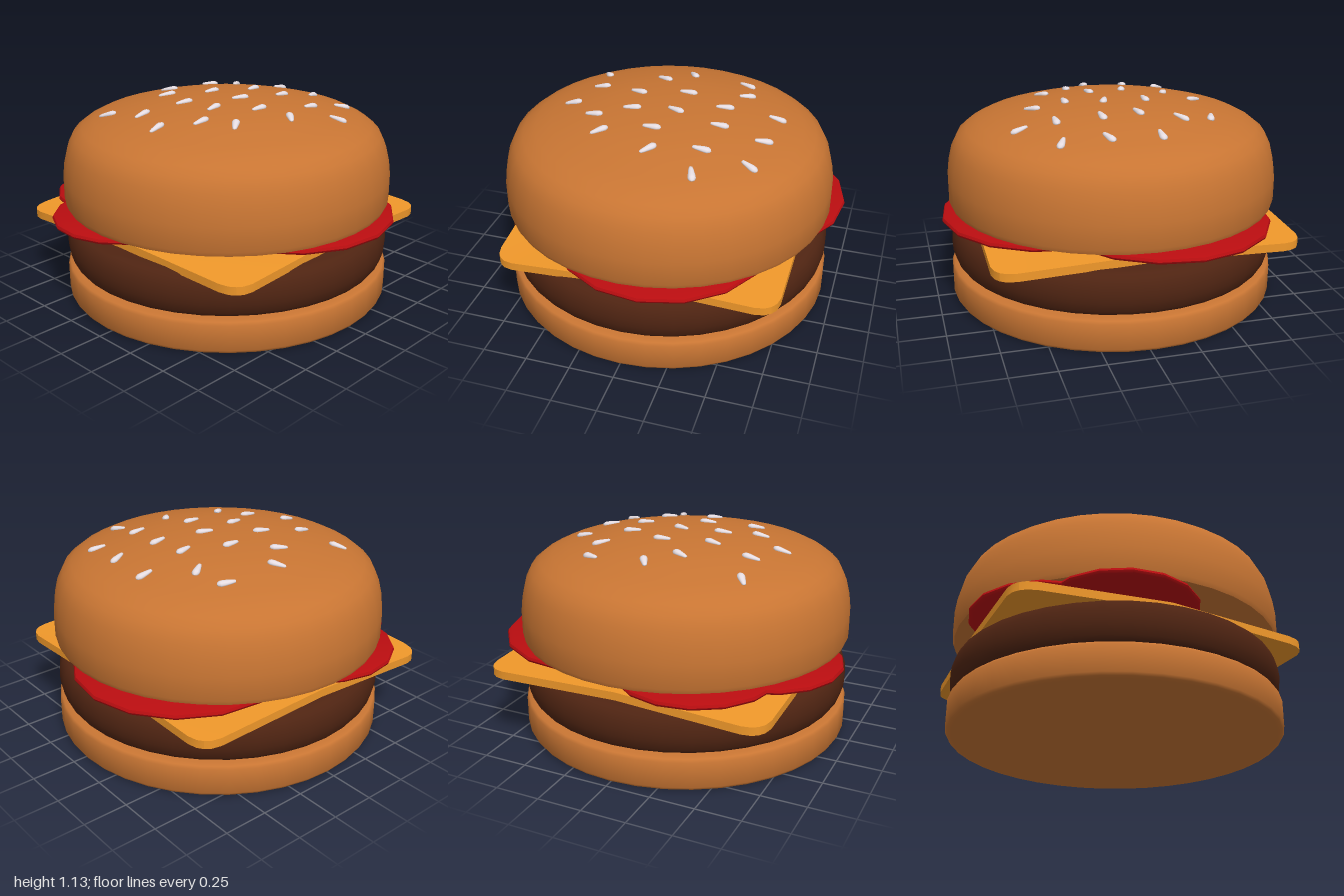
import * as THREE from 'three';
import { toCreasedNormals } from 'three/addons/utils/BufferGeometryUtils.js';

const CX = -0.03; // axis of the round layers
const paint = (color) => new THREE.MeshStandardMaterial({ color });
const bunMat = paint(0xc87533);
const pattyMat = paint(0x4f2412);
const cheeseMat = paint(0xf0982a);
const tomatoMat = paint(0xb90d10);
const seedMat = paint(0xe6dde2);

// Outer dome of the top bun as [radius, height], from rim to crown
const DOME = [[0.925, 0.545], [0.935, 0.57], [0.935, 0.7], [0.925, 0.78], [0.905, 0.86], [0.87, 0.93],
  [0.82, 0.97], [0.75, 1.005], [0.66, 1.03], [0.56, 1.055], [0.45, 1.078], [0.33, 1.095], [0.17, 1.107], [0, 1.11]];

function turned(name, profile, segments, material) {
  const lathe = new THREE.LatheGeometry(profile.map(([r, y]) => new THREE.Vector2(r, y)), segments);
  const mesh = new THREE.Mesh(toCreasedNormals(lathe, 0.8), material);
  mesh.name = name;
  return mesh;
}

// Height and slope of the dome at a given radius
function domeAt(r) {
  for (let i = DOME.length - 1; i > 0; i--) {
    const [r0, y0] = DOME[i], [r1, y1] = DOME[i - 1];
    if (r <= r1) {
      const slope = (y1 - y0) / (r1 - r0);
      return { y: y0 + (r - r0) * slope, slope };
    }
  }
  return { y: DOME[0][1], slope: 0 };
}

// Thin square slice with rounded corners that sag over the patty
function cheeseSlice() {
  const geo = new THREE.BoxGeometry(2, 1, 2, 28, 1, 28);
  const p = geo.attributes.position;
  const inner = 1 - 2 / 14;
  for (let i = 0; i < p.count; i++) {
    let u = p.getX(i), v = p.getZ(i);
    const du = Math.abs(u) - inner, dv = Math.abs(v) - inner;
    if (du > 0 && dv > 0) {
      const k = Math.max(du, dv) / Math.hypot(du, dv);
      u = Math.sign(u) * (inner + du * k);
      v = Math.sign(v) * (inner + dv * k);
    }
    const sag = v > 0 ? (u < 0 ? 0.045 : 0.04) : (u < 0 ? 0.02 : 0.03);
    const depth = v * (u > 0 && v > 0 ? 0.803 - 0.045 * u : 0.803);
    p.setXYZ(i, -0.055 + u * 0.83, 0.46 + p.getY(i) * 0.045 - sag * Math.abs(u * v), depth);
  }
  geo.computeVertexNormals();
  const mesh = new THREE.Mesh(geo, cheeseMat);
  mesh.name = 'cheeseSlice';
  return mesh;
}

function tomatoSlices() {
  const group = new THREE.Group();
  group.name = 'tomatoSlices';
  // x, z, radius, turn in degrees
  const slices = [[0.36, -0.09, 0.6, 3.6], [-0.21, -0.4, 0.6, 3.8], [-0.53, 0.3, 0.44, -3], [-0.24, 0.58, 0.415, 6.8]];
  slices.forEach(([x, z, r, turn], i) => {
    const slice = turned('tomatoSlice' + (i + 1), [[0, 0], [r - 0.03, 0], [r - 0.006, 0.008], [r, 0.02],
      [r - 0.006, 0.034], [r - 0.03, 0.042], [0, 0.042]], 16, tomatoMat);
    slice.position.set(x, 0.489 + i * 0.001, z);
    slice.rotation.y = THREE.MathUtils.degToRad(turn);
    group.add(slice);
  });
  return group;
}

function sesameSeeds() {
  const group = new THREE.Group();
  group.name = 'sesameSeeds';
  // Teardrop lying along z, slightly flattened
  const geo = new THREE.LatheGeometry([[0, -0.052], [0.01, -0.047], [0.014, -0.03], [0.021, 0.015],
    [0.021, 0.033], [0.013, 0.047], [0, 0.052]].map(([r, y]) => new THREE.Vector2(r, y)), 10);
  geo.rotateX(-Math.PI / 2);
  geo.scale(1, 0.75, 1);
  // x, z, lean in degrees
  const seeds = [[-0.145, -0.59, 0], [0.13, -0.57, -20], [0.37, -0.545, 25], [-0.505, -0.34, 20],
    [-0.32, -0.38, -35], [-0.103, -0.3, -12], [0.103, -0.32, -4], [0.347, -0.286, 0], [0.542, -0.286, 70],
    [-0.52, -0.01, 58], [-0.21, -0.06, 0], [0.024, -0.053, 20], [0.235, 0.02, 0], [0.426, -0.02, -50],
    [-0.384, 0.132, 25], [-0.15, 0.217, 15], [0.056, 0.19, -8], [0.315, 0.29, -38], [0.15, 0.38, 0],
    [-0.463, 0.513, 55], [-0.22, 0.466, 0], [0.003, 0.56, -5]];
  for (const [x, z, lean] of seeds) {
    const dx = x - CX, r = Math.hypot(dx, z);
    const { y, slope } = domeAt(r);
    const normal = new THREE.Vector3(-slope * dx / r, 1, -slope * z / r).normalize();
    const seed = new THREE.Mesh(geo, seedMat);
    seed.name = 'sesameSeed';
    seed.position.set(x, y + 0.003, z);
    seed.quaternion.setFromUnitVectors(new THREE.Vector3(0, 1, 0), normal);
    seed.rotateY(-THREE.MathUtils.degToRad(lean));
    group.add(seed);
  }
  return group;
}

export function createModel() {
  const model = new THREE.Group();
  model.name = 'hamburger';

  // Round layers share one axis
  const bottomBun = turned('bottomBun', [[0, 0], [0.9, 0], [0.925, 0.006], [0.935, 0.022], [0.935, 0.165],
    [0.925, 0.181], [0.9, 0.187], [0, 0.187]], 40, bunMat);
  const patty = turned('patty', [[0, 0.195], [0.86, 0.195], [0.895, 0.202], [0.912, 0.225], [0.927, 0.275],
    [0.93, 0.315], [0.925, 0.36], [0.908, 0.402], [0.885, 0.422], [0.85, 0.43], [0, 0.43]], 40, pattyMat);
  const topBun = turned('topBun', [[0, 0.54], [0.905, 0.54], ...DOME], 40, bunMat);
  for (const layer of [bottomBun, patty, topBun]) {
    layer.position.x = CX;
    model.add(layer);
  }

  model.add(cheeseSlice(), tomatoSlices(), sesameSeeds());
  return model;
}
